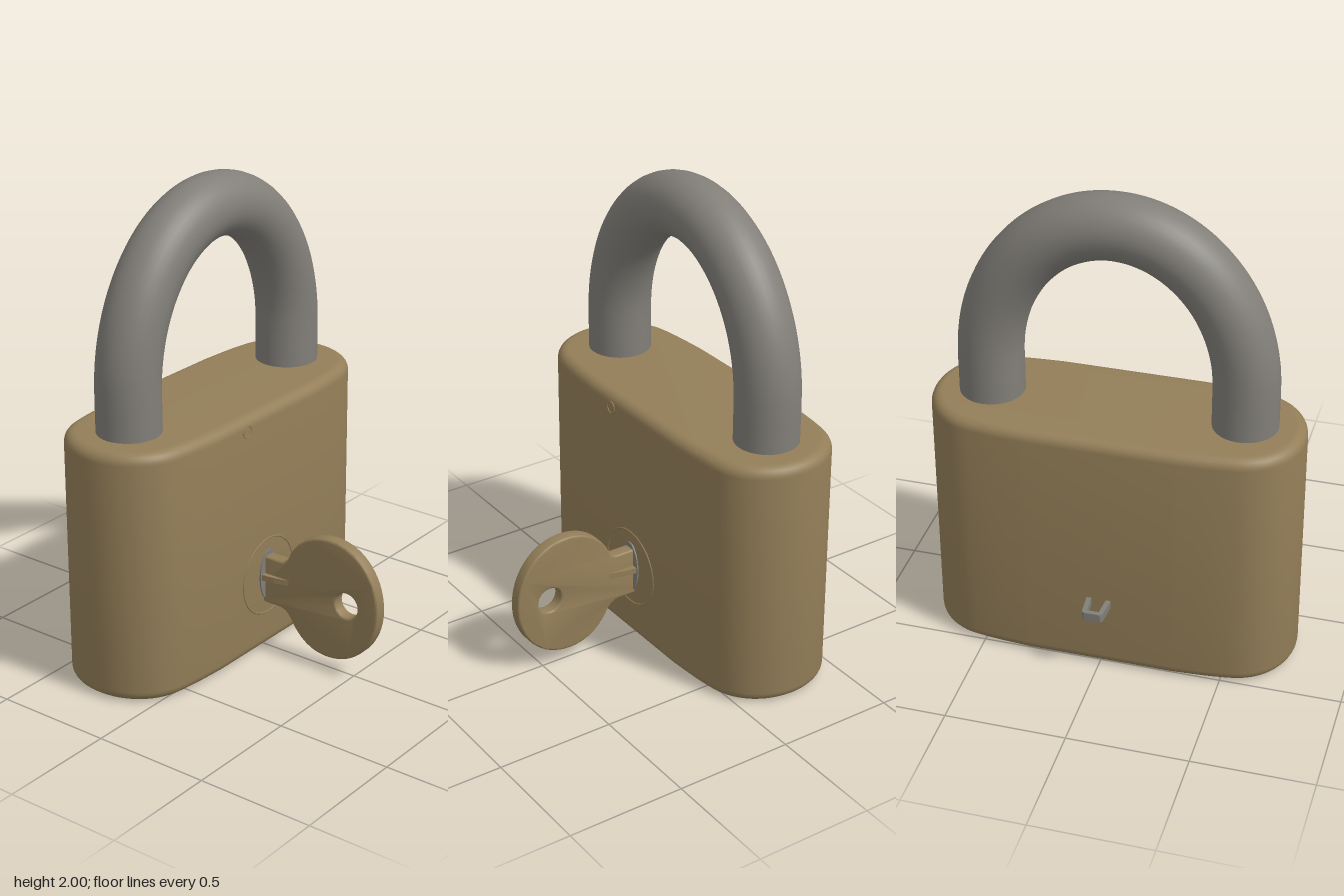
import * as THREE from 'three';
import { toCreasedNormals } from 'three/addons/utils/BufferGeometryUtils.js';

const BODY_Z = -0.232;
const FRONT_Z = 0.06;

export function createModel() {
  const group = new THREE.Group();
  group.name = 'padlock';
  const brass = new THREE.MeshStandardMaterial({ color: 0x937e58 });
  brass.name = 'brass';
  const steel = new THREE.MeshStandardMaterial({ color: 0x827f79 });
  steel.name = 'steel';

  const add = (name, geometry, material, x = 0, y = 0, z = 0) => {
    const mesh = new THREE.Mesh(geometry, material);
    mesh.name = name;
    mesh.position.set(x, y, z);
    group.add(mesh);
    return mesh;
  };
  const polygon = (pts) => new THREE.Shape(pts.map(([x, y]) => new THREE.Vector2(x, y)));
  // Flat part drawn in x and z, with its top at y = 0
  const slab = (pts, height) =>
    new THREE.ExtrudeGeometry(polygon(pts), { depth: height, bevelEnabled: false }).rotateX(Math.PI / 2);

  // Body: rounded footprint, extruded upwards with soft edges
  const foot = new THREE.Shape();
  foot.moveTo(-0.3, -0.292);
  foot.lineTo(0.3, -0.292);
  foot.bezierCurveTo(0.4, -0.286, 0.47, -0.282, 0.55, -0.268);
  foot.bezierCurveTo(0.68, -0.245, 0.76, -0.13, 0.76, 0);
  foot.bezierCurveTo(0.76, 0.13, 0.68, 0.245, 0.55, 0.268);
  foot.bezierCurveTo(0.47, 0.282, 0.4, 0.286, 0.3, 0.292);
  foot.lineTo(-0.3, 0.292);
  foot.bezierCurveTo(-0.4, 0.286, -0.47, 0.282, -0.55, 0.268);
  foot.bezierCurveTo(-0.68, 0.245, -0.76, 0.13, -0.76, 0);
  foot.bezierCurveTo(-0.76, -0.13, -0.68, -0.245, -0.55, -0.268);
  foot.bezierCurveTo(-0.47, -0.282, -0.4, -0.286, -0.3, -0.292);
  const edge = 0.045;
  const body = new THREE.ExtrudeGeometry(foot, {
    depth: 1.075 - 2 * edge, curveSegments: 16,
    bevelSize: edge, bevelThickness: edge, bevelOffset: -edge, bevelSegments: 6,
  });
  body.translate(0, 0, edge).rotateX(-Math.PI / 2);
  add('body', toCreasedNormals(body, 0.6), brass, 0, 0, BODY_Z);

  // Shackle: straight legs joined by an elliptical arch
  const path = [new THREE.Vector3(0.517, 1.0, 0), new THREE.Vector3(0.517, 1.13, 0)];
  for (let i = 0; i <= 24; i++) {
    const a = (i / 24) * Math.PI;
    path.push(new THREE.Vector3(0.517 * Math.cos(a), 1.25 + 0.62 * Math.sin(a), 0));
  }
  path.push(new THREE.Vector3(-0.517, 1.13, 0), new THREE.Vector3(-0.517, 1.0, 0));
  add('shackle', new THREE.TubeGeometry(new THREE.CatmullRomCurve3(path), 96, 0.132, 32), steel, 0, 0, BODY_Z - 0.003);

  // Lock cylinder outline and small rivet mark on the front
  add('cylinderRim', new THREE.TorusGeometry(0.168, 0.004, 6, 48), brass, 0, 0.33, FRONT_Z);
  add('rivetMark', new THREE.TorusGeometry(0.026, 0.003, 6, 20), brass, -0.14, 1.018, FRONT_Z);

  // Keyhole plate
  const plate = new THREE.CylinderGeometry(0.06, 0.06, 0.008, 24).rotateX(Math.PI / 2).scale(1, 1.9, 1);
  add('keyholePlate', plate, steel, 0, 0.335, FRONT_Z + 0.002);

  // Key: oval bow with a hole, narrowing to the shank (drawn in z and y)
  const key = new THREE.Shape();
  key.moveTo(0, 0.215);
  key.lineTo(0.14, 0.215);
  key.quadraticCurveTo(0.18, 0.21, 0.205, 0.16);
  key.bezierCurveTo(0.25, 0.09, 0.31, 0.06, 0.38, 0.06);
  key.bezierCurveTo(0.52, 0.06, 0.625, 0.18, 0.625, 0.325);
  key.bezierCurveTo(0.625, 0.47, 0.53, 0.59, 0.39, 0.59);
  key.bezierCurveTo(0.3, 0.59, 0.22, 0.54, 0.185, 0.46);
  key.quadraticCurveTo(0.175, 0.425, 0.14, 0.425);
  key.lineTo(0, 0.425);
  key.closePath();
  const hole = new THREE.Path();
  hole.absarc(0.472, 0.322, 0.055, 0, Math.PI * 2, true);
  key.holes.push(hole);
  const keyGeometry = new THREE.ExtrudeGeometry(key, {
    depth: 0.04, curveSegments: 16,
    bevelSize: 0.008, bevelThickness: 0.008, bevelOffset: -0.008, bevelSegments: 3,
  });
  keyGeometry.translate(0, 0, -0.02).rotateY(-Math.PI / 2);
  add('key', toCreasedNormals(keyGeometry, 0.6), brass);

  // Tapering ribs along both sides of the key shank
  const rib = [[-0.055, 0.04], [0.055, 0.04], [0.045, 0.12], [0.024, 0.2], [-0.024, 0.2], [-0.045, 0.12]];
  add('keyRib', slab(rib, 0.025), brass, 0, 0.35, 0);

  // Small steel loop on the back
  const loop = [
    [-0.052, -0.5], [-0.043, -0.615], [-0.034, -0.625], [0.034, -0.625], [0.043, -0.615], [0.052, -0.5],
    [0.032, -0.5], [0.024, -0.605], [-0.024, -0.605], [-0.032, -0.5],
  ];
  add('backLoop', slab(loop, 0.036), steel, 0, 0.33, 0);

  return group;
}
